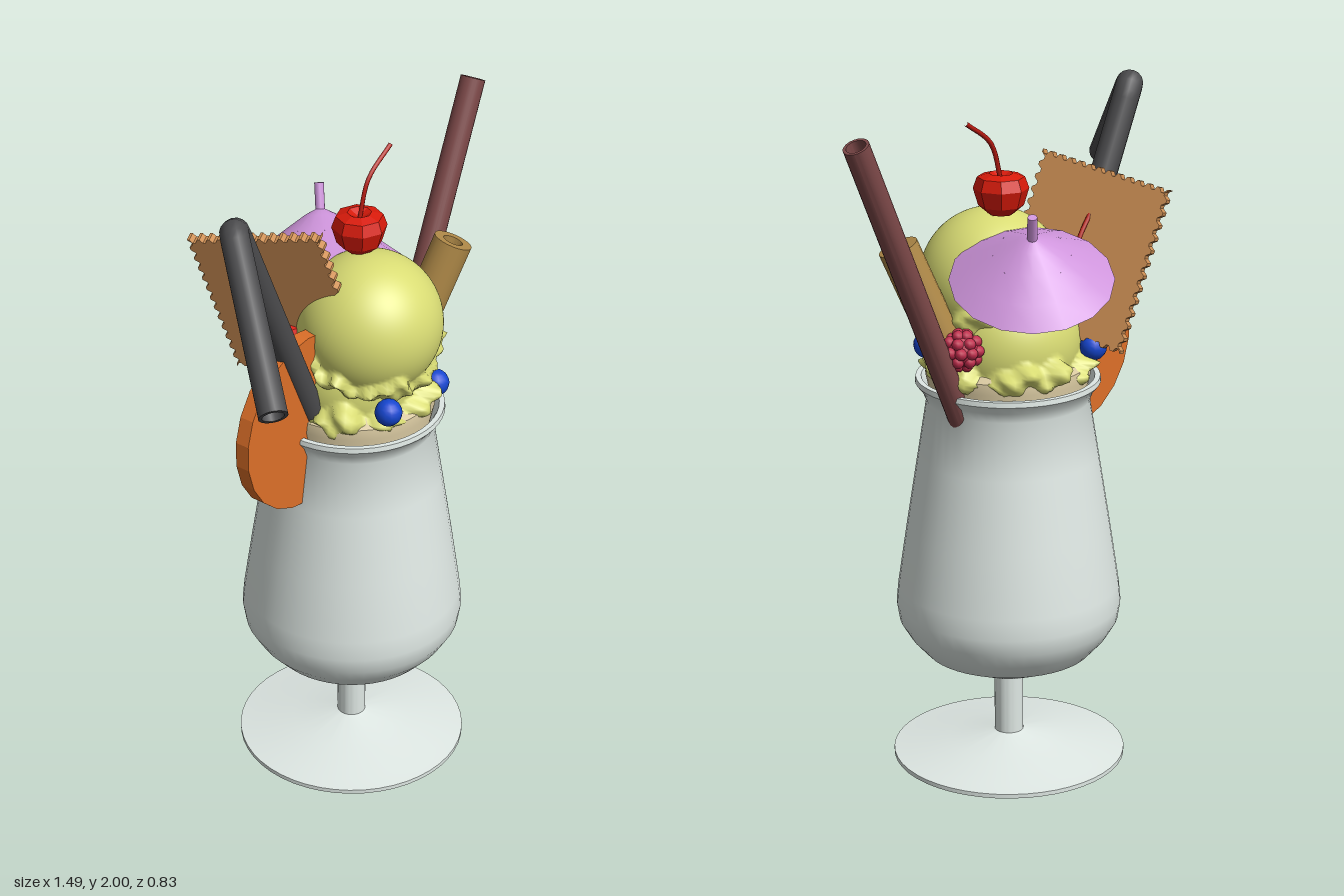
import * as THREE from 'three';
import { toCreasedNormals } from 'three/addons/utils/BufferGeometryUtils.js';

const V = (x, y, z) => new THREE.Vector3(x, y, z);
const UP = V(0, 1, 0);
const CX = 0.083, CZ = 0.018; // glass axis

const mat = (color, opts = {}) => {
  const m = new THREE.MeshStandardMaterial({ color });
  return Object.assign(m, opts);
};
const MATS = {
  glass: mat(0xdfe8e4, { side: THREE.DoubleSide }),
  cream: mat(0xd8c8a0),
  scoop: mat(0xd9dc74),
  cherry: mat(0xd81a0a, { flatShading: true }),
  stem: mat(0xb81a10),
  berry: mat(0x1546d0),
  raspberry: mat(0xc02c4c),
  biscuit: mat(0xcf9055),
  roll: mat(0xb08a48, { side: THREE.DoubleSide }),
  orange: mat(0xdd6f28, { flatShading: true }),
  umbrella: mat(0xcf95dc, { side: THREE.DoubleSide }),
  darkStraw: mat(0x4a4a4c, { side: THREE.DoubleSide }),
  brownStraw: mat(0x7c4848, { side: THREE.DoubleSide }),
};

function mesh(name, geo, material, pos) {
  const m = new THREE.Mesh(geo, material);
  m.name = name;
  if (pos) m.position.copy(pos);
  return m;
}

const lathe = (pts, seg = 48) =>
  toCreasedNormals(new THREE.LatheGeometry(pts.map(p => new THREE.Vector2(...p)), seg), 0.6);

// Open-ended hollow pipe between two points
function pipe(name, a, b, r, inner, material) {
  const len = a.distanceTo(b);
  const m = mesh(name, lathe([[inner, 0], [r, 0], [r, len], [inner, len], [inner, 0]], 20), material, a);
  m.quaternion.setFromUnitVectors(UP, b.clone().sub(a).normalize());
  return m;
}

const smooth = THREE.MathUtils.smoothstep;

// Ball of ice cream with a ragged, bulging skirt around its lower part
function scoop(name, r, edge, flare, seed, pos) {
  const g = new THREE.SphereGeometry(r, 96, 64);
  const p = g.attributes.position;
  const v = V();
  for (let i = 0; i < p.count; i++) {
    v.fromBufferAttribute(p, i);
    const a = Math.atan2(v.z, v.x), t = v.y / r;
    const wave = Math.sin(5 * a + seed) + 0.7 * Math.sin(9 * a + 2 * seed) + 0.5 * Math.sin(14 * a + 3 * seed);
    const top = edge + 0.09 * wave;
    const low = edge - 0.42 + 0.07 * Math.sin(7 * a - seed) + 0.05 * Math.sin(12 * a + seed);
    const band = smooth(top - t, 0, 0.1) * smooth(t - low, 0, 0.12);
    const rough = 1 + 0.25 * Math.sin(11 * a + 9 * t + seed) + 0.2 * Math.sin(19 * a - 14 * t);
    const s = 1 + flare * band * rough;
    p.setXYZ(i, v.x * s, v.y, v.z * s);
  }
  g.computeVertexNormals();
  return mesh(name, g, MATS.scoop, pos);
}

// Faceted cherry with dimpled top and curved stem
function cherry(name, c, tip) {
  const grp = new THREE.Group();
  grp.name = name;
  const body = lathe([[0, -0.05], [0.035, -0.06], [0.065, -0.035], [0.08, 0.015], [0.068, 0.048], [0.035, 0.058], [0, 0.04]], 8);
  grp.add(mesh('cherryBody', body, MATS.cherry, c));
  const base = c.clone().add(V(0, 0.035, 0));
  const mid = base.clone().lerp(tip, 0.5).add(V(-0.03 * Math.sign(tip.x - c.x), 0.02, 0));
  const curve = new THREE.CatmullRomCurve3([base, mid, tip]);
  grp.add(mesh('cherryStem', new THREE.TubeGeometry(curve, 12, 0.007, 6), MATS.stem));
  return grp;
}

// Square biscuit with toothed edges, from its top corner along two edges
function biscuit() {
  const A = V(-0.225, 1.74, -0.33), B = V(-0.105, 1.82, 0.05), D = V(-0.075, 1.28, -0.28);
  const w = A.distanceTo(B), h = A.distanceTo(D), n = 13, tooth = 0.012;
  const corners = [[0, 0], [w, 0], [w, h], [0, h]];
  const shape = new THREE.Shape();
  corners.forEach(([x0, y0], k) => {
    const [x1, y1] = corners[(k + 1) % 4];
    const nx = -Math.sign(y1 - y0), ny = Math.sign(x1 - x0);
    for (let i = 0; i < n * 4; i++) {
      const f = i / (n * 4), d = i % 4 < 2 ? 0 : tooth;
      const x = x0 + (x1 - x0) * f + nx * d, y = y0 + (y1 - y0) * f + ny * d;
      if (k === 0 && i === 0) shape.moveTo(x, y); else shape.lineTo(x, y);
    }
  });
  const g = new THREE.ExtrudeGeometry(shape, { depth: 0.03, bevelEnabled: false });
  g.translate(0, 0, -0.015);
  const ex = B.clone().sub(A).normalize();
  const ez = ex.clone().cross(D.clone().sub(A)).normalize();
  const ey = ez.clone().cross(ex);
  g.applyMatrix4(new THREE.Matrix4().makeBasis(ex, ey, ez).setPosition(A));
  return mesh('biscuit', g, MATS.biscuit);
}

// Paper parasol on a stick
function parasol() {
  const grp = new THREE.Group();
  grp.name = 'parasol';
  const canopy = [[0.232, 0], [0.17, 0.045], [0.1, 0.092], [0.045, 0.128], [0, 0.15]];
  grp.add(mesh('canopy', lathe(canopy, 16), MATS.umbrella));
  grp.add(mesh('parasolStick', new THREE.CylinderGeometry(0.014, 0.014, 0.42, 8), MATS.umbrella, V(0, 0.01, 0)));
  for (let i = 0; i < 8; i++) {
    const a = i * Math.PI / 4;
    const curve = new THREE.LineCurve3(V(0, 0.04, 0), V(0.11 * Math.cos(a), 0.083, 0.11 * Math.sin(a)));
    grp.add(mesh('parasolRib', new THREE.TubeGeometry(curve, 1, 0.005, 5), MATS.umbrella));
  }
  grp.position.set(0.2, 1.54, -0.19);
  grp.quaternion.setFromUnitVectors(UP, V(0.29, 0.91, -0.29).normalize());
  return grp;
}

// Raspberry made of rings of small beads
function raspberry(c) {
  const grp = new THREE.Group();
  grp.name = 'raspberry';
  grp.add(mesh('raspberryCore', new THREE.SphereGeometry(0.05, 12, 10), MATS.raspberry));
  const bead = new THREE.SphereGeometry(0.018, 8, 6);
  for (let row = -2; row <= 2; row++) {
    const lat = row * 0.6, n = [9, 7, 4][Math.abs(row)];
    for (let i = 0; i < n; i++) {
      const a = (i + (row & 1) * 0.5) / n * Math.PI * 2;
      grp.add(mesh('bead', bead, MATS.raspberry,
        V(Math.cos(lat) * Math.cos(a), Math.sin(lat), Math.cos(lat) * Math.sin(a)).multiplyScalar(0.046)));
    }
  }
  grp.position.copy(c);
  return grp;
}

export function createModel() {
  const g = new THREE.Group();
  g.name = 'iceCreamSundae';

  // Footed glass: outer wall, rim, then inner wall
  g.add(mesh('glass', lathe([
    [0, 0], [0.347, 0], [0.347, 0.013], [0.3, 0.02], [0.18, 0.042], [0.06, 0.063], [0.043, 0.068],
    [0.043, 0.25], [0.11, 0.275], [0.25, 0.34], [0.295, 0.39], [0.325, 0.44], [0.333, 0.49], [0.327, 0.55],
    [0.3, 0.73], [0.265, 0.95], [0.238, 1.12], [0.25, 1.15], [0.27, 1.175], [0.268, 1.19], [0.252, 1.19],
    [0.225, 1.12], [0.24, 1.0],
  ]), MATS.glass, V(CX, 0, CZ)));
  g.add(mesh('creamFilling', lathe([[0.235, 1.05], [0.225, 1.13], [0.24, 1.2], [0.235, 1.23], [0.18, 1.26], [0, 1.28]]),
    MATS.cream, V(CX, 0, CZ)));

  // Two stacked scoops, the upper one tipped forward
  g.add(scoop('lowerScoop', 0.21, -0.14, 0.24, 1.3, V(0.088, 1.3, 0.012)));
  const upper = scoop('upperScoop', 0.212, -0.3, 0.17, 4.1, V(0.092, 1.468, 0.07));
  upper.rotation.x = 0.27;
  g.add(upper);

  // Fruit
  g.add(cherry('topCherry', V(0.112, 1.735, 0.015), V(0.245, 1.955, 0.02)));
  g.add(cherry('backCherry', V(-0.06, 1.42, -0.13), V(-0.115, 1.66, -0.12)));
  for (const [x, y, z] of [[-0.03, 1.285, 0.235], [0.213, 1.265, 0.22], [-0.06, 1.285, -0.185]])
    g.add(mesh('blueberry', new THREE.SphereGeometry(0.04, 14, 10), MATS.berry, V(x, y, z)));
  g.add(raspberry(V(0.315, 1.325, -0.03)));
  const slice = mesh('orangeSlice', new THREE.CylinderGeometry(0.27, 0.27, 0.045, 22), MATS.orange, V(-0.145, 1.237, 0.015));
  slice.rotation.x = Math.PI / 2;
  g.add(slice);

  // Biscuit, wafer roll and parasol
  g.add(biscuit());
  g.add(pipe('waferRoll', V(0.27, 1.22, 0.035), V(0.412, 1.615, 0.125), 0.058, 0.03, MATS.roll));
  g.add(parasol());

  // Straight straw
  g.add(pipe('straightStraw', V(0.25, 1.02, 0.004), V(0.708, 1.977, -0.033), 0.037, 0.028, MATS.brownStraw));

  // Bent straw with a rounded elbow
  const low = V(-0.03, 1.06, 0.018), elbow = V(-0.44, 1.985, 0.018), tip = V(-0.713, 1.655, 0.383);
  const near = (p) => elbow.clone().add(p.clone().sub(elbow).setLength(0.06));
  const path = new THREE.CurvePath();
  path.add(new THREE.LineCurve3(low, near(low)));
  path.add(new THREE.QuadraticBezierCurve3(near(low), elbow, near(tip)));
  path.add(new THREE.LineCurve3(near(tip), tip));
  for (const [name, r] of [['bentStraw', 0.04], ['bentStrawBore', 0.03]])
    g.add(mesh(name, new THREE.TubeGeometry(path, 80, r, 16), MATS.darkStraw));
  const lip = mesh('bentStrawLip', new THREE.RingGeometry(0.03, 0.04, 16), MATS.darkStraw, tip);
  lip.quaternion.setFromUnitVectors(V(0, 0, 1), tip.clone().sub(elbow).normalize());
  g.add(lip);

  return g;
}
